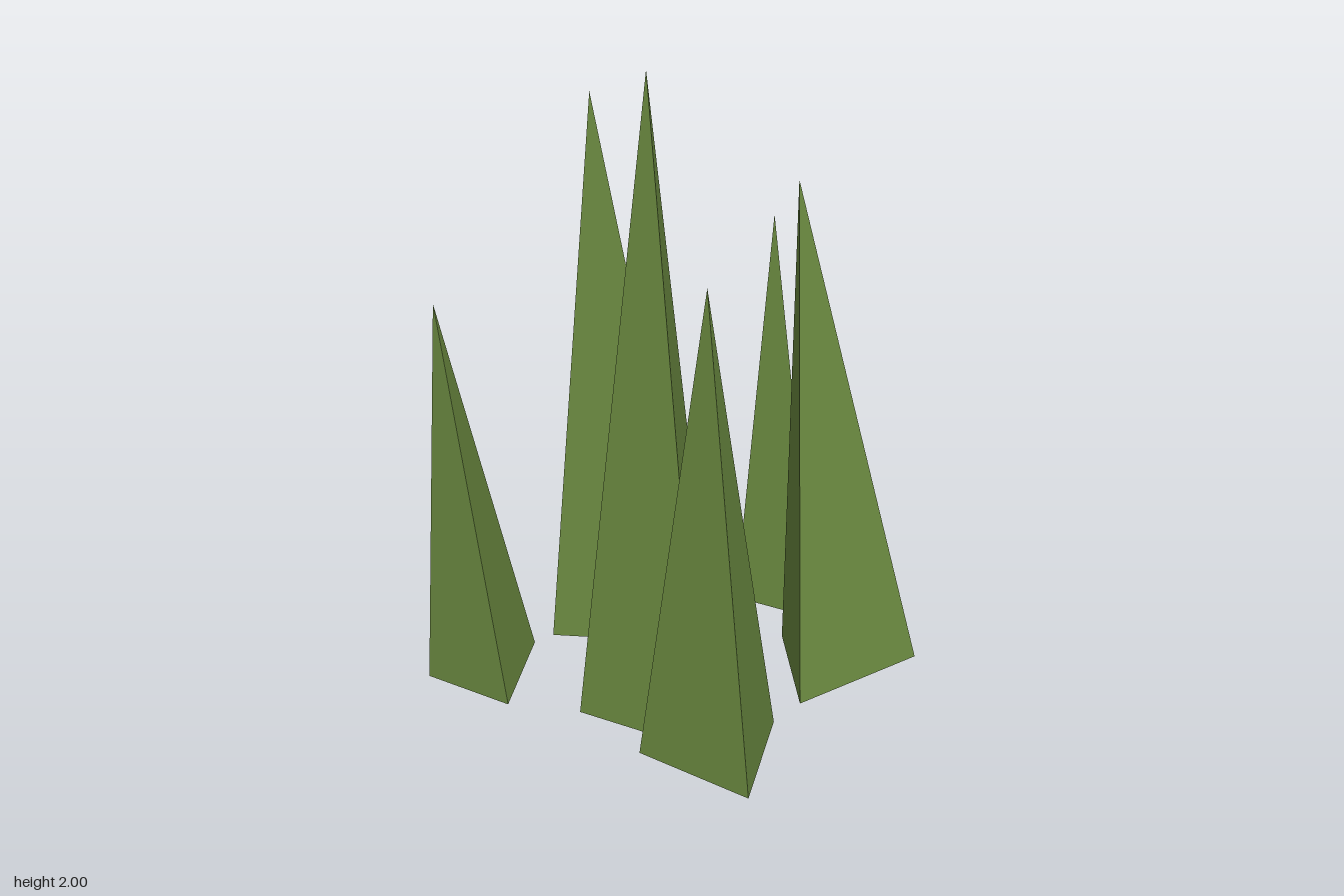
import * as THREE from 'three';

// Each blade: tip, then three base corners, counterclockwise seen from above.
const BLADES = {
  centreBlade: [[0.035, 2, 0.245], [-0.215, 0, 0.31], [0.245, 0.01, 0.24], [-0.05, 0.04, -0.12]],
  leaningBlade: [[-0.375, 1.88, 0.088], [-0.545, 0.1, 0.13], [-0.1, 0.13, -0.125], [-0.545, 0.15, -0.38]],
  backRightBlade: [[0.253, 1.67, -0.147], [0, 0.11, -0.373], [0.347, 0.087, -0.08], [0.425, 0.125, -0.527]],
  backBlade: [[-0.178, 1.45, -0.508], [-0.263, 0.15, -0.43], [0.053, 0.155, -0.475], [-0.13, 0.167, -0.593]],
  frontLeftBlade: [[-0.508, 1.3, 0.592], [-0.637, 0.067, 0.565], [-0.303, 0.068, 0.523], [-0.543, 0.1, 0.21]],
  frontRightBlade: [[0.487, 1.5, 0.46], [0.221, 0.074, 0.468], [0.634, 0.075, 0.445], [0.405, 0.108, 0.098]],
};

// Three flat sides meeting at the tip, open underneath.
function bladeGeometry([tip, ...base]) {
  const points = [];
  base.forEach((corner, i) => points.push(...corner, ...base[(i + 1) % base.length], ...tip));
  const geometry = new THREE.BufferGeometry();
  geometry.setAttribute('position', new THREE.Float32BufferAttribute(points, 3));
  geometry.computeVertexNormals();
  return geometry;
}

export function createModel() {
  const group = new THREE.Group();
  group.name = 'grassTuft';
  const grass = new THREE.MeshStandardMaterial({ color: 0x6f8f43, side: THREE.DoubleSide, flatShading: true });
  grass.name = 'grassGreen';
  for (const [name, corners] of Object.entries(BLADES)) {
    const blade = new THREE.Mesh(bladeGeometry(corners), grass);
    blade.name = name;
    group.add(blade);
  }
  return group;
}
